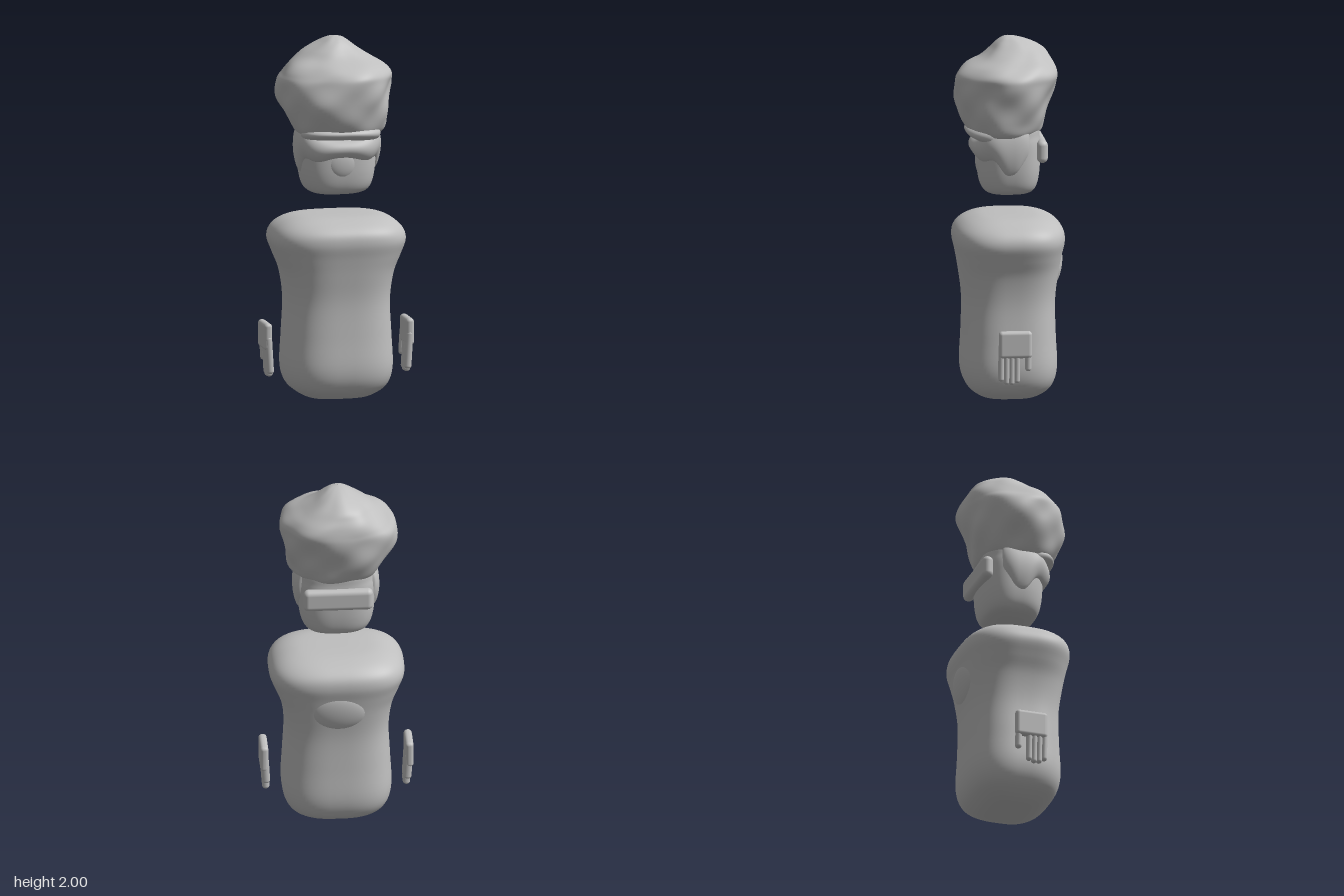
import * as THREE from 'three';
import { RoundedBoxGeometry } from 'three/addons/geometries/RoundedBoxGeometry.js';

const grey = new THREE.MeshStandardMaterial({ color: 0xbfbfbf, side: THREE.DoubleSide });
grey.name = 'plain grey';

function add(parent, name, geometry, x = 0, y = 0, z = 0) {
  const mesh = new THREE.Mesh(geometry, grey);
  mesh.name = name;
  mesh.position.set(x, y, z);
  parent.add(mesh);
  return mesh;
}

// Smooth interpolation through rows of numbers, t in 0..1
function sampleRows(rows, t) {
  const f = t * (rows.length - 1), i = Math.min(Math.floor(f), rows.length - 2), s = f - i;
  const at = k => rows[Math.max(0, Math.min(rows.length - 1, k))];
  const [a, b, c, d] = [at(i - 1), at(i), at(i + 1), at(i + 2)];
  return b.map((p, k) => p + 0.5 * s * (c[k] - a[k]
    + s * (2 * a[k] - 5 * p + 4 * c[k] - d[k] + s * (3 * (p - c[k]) + d[k] - a[k]))));
}

// Grid surface; point(u, v) with v rising and u turning from +x to +z
function surface(point, nu, nv, closed) {
  const pos = [], index = [], cols = closed ? nu : nu + 1;
  for (let i = 0; i <= nv; i++)
    for (let j = 0; j < cols; j++) pos.push(...point(j / nu, i / nv));
  for (let i = 0; i < nv; i++)
    for (let j = 0; j < nu; j++) {
      const k = (j + 1) % cols, a = i * cols + j, b = i * cols + k;
      index.push(a, a + cols, b, b, a + cols, b + cols);
    }
  const g = new THREE.BufferGeometry();
  g.setAttribute('position', new THREE.Float32BufferAttribute(pos, 3));
  g.setIndex(index);
  g.computeVertexNormals();
  return g;
}

const signedPow = (c, n) => Math.sign(c) * Math.abs(c) ** (2 / n);

// Stack of rounded-square rings, each row [y, xMin, xMax, zMin, zMax]
function loft(rows, power, bumps = () => 0) {
  return surface((u, v) => {
    const [y, x0, x1, z0, z1] = sampleRows(rows, v), a = u * Math.PI * 2;
    const cx = (x0 + x1) / 2, cz = (z0 + z1) / 2, m = 1 + bumps(a, y);
    return [cx + (x1 - x0) / 2 * signedPow(Math.cos(a), power) * m, y,
      cz + (z1 - z0) / 2 * signedPow(Math.sin(a), power) * m];
  }, 96, 72, true);
}
const even = (y, x, z) => [y, -x, x, -z, z];

// Bulging strip wrapped round the front of the head
function wrap(from, to, rx, rz, bulge, bottom, top) {
  return surface((u, v) => {
    const a = from + (to - from) * u, side = (a - Math.PI / 2);
    const edge = Math.sin(Math.PI * u) ** 0.3;
    const puff = bulge * Math.sin(Math.PI * v) ** 0.6 * edge;
    const lo = bottom(side), hi = top(side);
    return [(rx + puff) * signedPow(Math.cos(a), 2.6), lo + (hi - lo) * v,
      (rz + puff) * signedPow(Math.sin(a), 2.6)];
  }, 80, 20, false);
}

function makeHand(side) {
  const hand = new THREE.Group();
  hand.name = side > 0 ? 'leftHand' : 'rightHand';
  add(hand, 'palm', new RoundedBoxGeometry(0.045, 0.15, 0.182, 4, 0.02), 0, 0.355, 0);
  const digit = (name, z, tip, top, r) => {
    const m = add(hand, name, new THREE.CapsuleGeometry(r, top - tip - 2 * r, 6, 14),
      -0.007, (tip + top) / 2, z);
    m.rotation.z = -0.06;
    m.scale.x = 1.2;
  };
  [0.15, 0.132, 0.13, 0.14].forEach((tip, i) => digit('finger', 0.077 - i * 0.029, tip, 0.36, 0.0165));
  digit('thumb', -0.071, 0.205, 0.36, 0.018);
  hand.position.x = 0.397 * side;
  hand.rotation.y = 0;
  hand.scale.x = side;
  return hand;
}

export function createModel() {
  const model = new THREE.Group();
  model.name = 'figure';

  // Torso: waisted block with softened ends
  add(model, 'torso', loft([
    even(0, 0, 0), even(0.004, 0.13, 0.11), even(0.025, 0.2, 0.175), even(0.08, 0.27, 0.235),
    even(0.18, 0.3, 0.262), even(0.36, 0.293, 0.255), even(0.55, 0.285, 0.252),
    even(0.7, 0.305, 0.27), even(0.8, 0.343, 0.287), even(0.88, 0.371, 0.303),
    even(0.94, 0.355, 0.292), even(0.985, 0.305, 0.245), even(1.012, 0.23, 0.175),
    even(1.02, 0.13, 0.1), even(1.021, 0, 0)], 3));
  const patch = add(model, 'backPatch', new THREE.SphereGeometry(1, 40, 24), 0, 0.725, -0.25);
  patch.scale.set(0.15, 0.12, 0.042);
  patch.rotation.x = -0.16;

  for (const side of [1, -1]) model.add(makeHand(side));

  // Head
  const head = new THREE.Group();
  head.name = 'head';
  model.add(head);
  add(head, 'face', loft([
    even(1.128, 0, 0), even(1.13, 0.08, 0.07), even(1.145, 0.15, 0.125), even(1.18, 0.185, 0.152),
    even(1.25, 0.204, 0.167), even(1.35, 0.212, 0.172), even(1.45, 0.21, 0.17),
    even(1.53, 0.18, 0.15), even(1.56, 0, 0)], 2.8));
  add(head, 'mouthPatch', new THREE.SphereGeometry(1, 32, 20), 0, 1.315, 0.15)
    .scale.set(0.085, 0.085, 0.03);

  // Bar across the back of the head
  add(head, 'backBar', new RoundedBoxGeometry(0.38, 0.125, 0.06, 6, 0.029), 0, 1.38, -0.172);

  // Front wrap with pointed locks at both temples
  const dip = s => Math.exp(-(((Math.abs(s) - 1.5) / 0.28) ** 2));
  add(head, 'frontWrap', wrap(-0.5, Math.PI + 0.5, 0.203, 0.168, 0.046,
    s => 1.335 + 0.012 * Math.cos(s * 5) - 0.085 * dip(s) + 0.09 * Math.max(0, Math.abs(s) - 1.7),
    s => 1.445 + 0.07 * Math.min(1, Math.abs(s)) ** 2));
  add(head, 'fringe', wrap(0.35, Math.PI - 0.35, 0.2, 0.165, 0.072,
    s => 1.435 + 0.012 * Math.sin(s * 2 + 1), () => 1.52));

  // Lumpy swept hair
  add(head, 'hair', loft([
    [1.47, 0, 0, 0, 0], [1.462, -0.18, 0.19, -0.12, 0.16], [1.48, -0.235, 0.245, -0.17, 0.215],
    [1.55, -0.277, 0.268, -0.207, 0.26], [1.65, -0.325, 0.288, -0.24, 0.288],
    [1.75, -0.33, 0.308, -0.265, 0.288], [1.8, -0.3, 0.308, -0.268, 0.278],
    [1.845, -0.262, 0.265, -0.255, 0.235], [1.885, -0.215, 0.195, -0.228, 0.155],
    [1.925, -0.165, 0.13, -0.195, 0.108], [1.965, -0.095, 0.075, -0.13, 0.07],
    [1.99, -0.05, 0.035, -0.06, 0.035], [2, -0.012, -0.008, 0, 0.004]], 2.15,
  (a, y) => 0.022 * Math.sin(3 * a + 13 * y) + 0.018 * Math.sin(5 * a - 21 * y + 1)
    + 0.012 * Math.sin(8 * a + 30 * y) - 0.01));
  return model;
}
